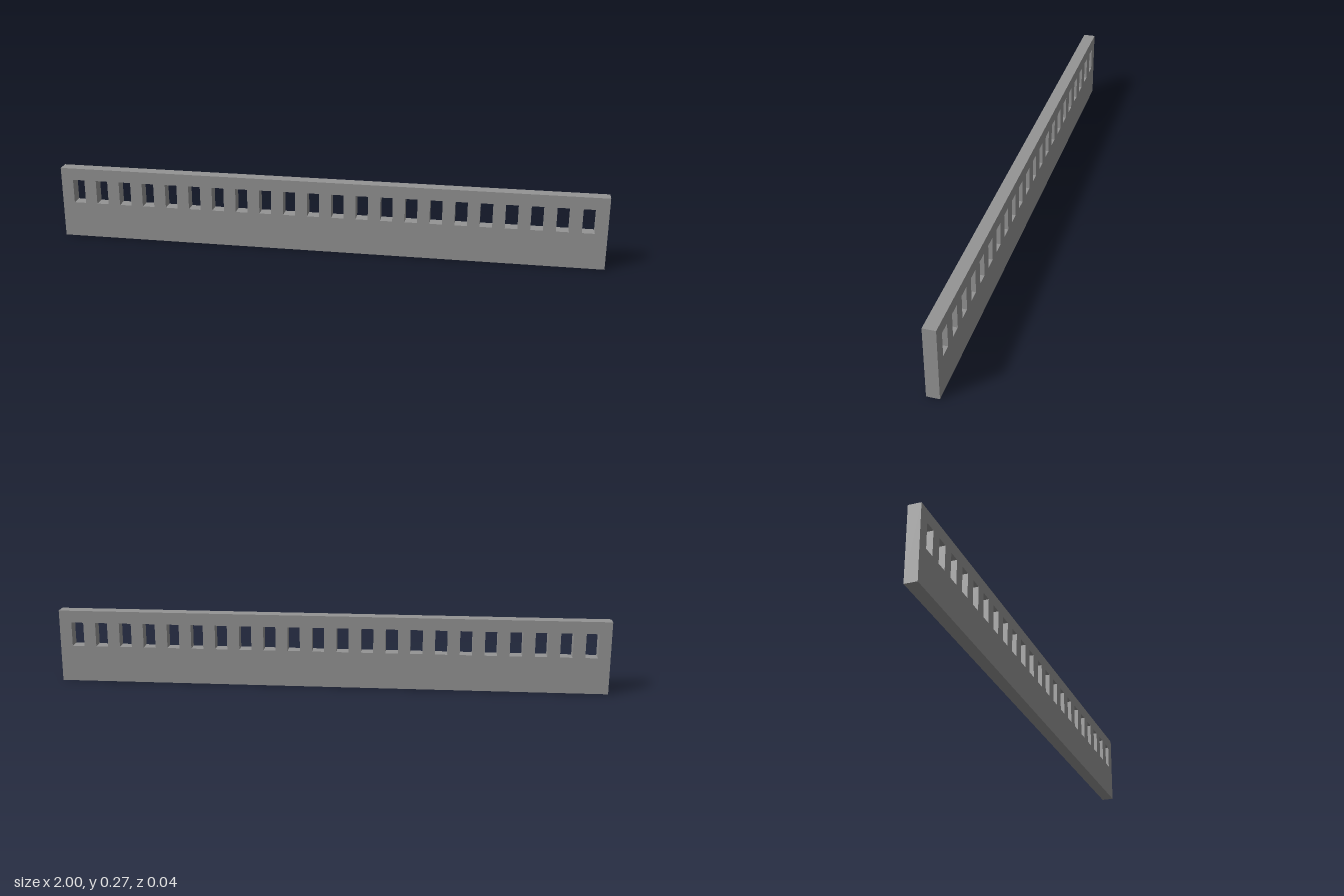
import * as THREE from 'three';

export function createModel() {
  const group = new THREE.Group();
  group.name = 'slottedBar';
  const grey = new THREE.MeshStandardMaterial({ color: 0x949494 });
  grey.name = 'grey';

  // everything sits on a square module: 45 long, 6 high, 1 deep
  const m = 2 / 45;
  const rect = (target, x, y, w, h) => {
    target.moveTo(x, y);
    target.lineTo(x + w, y);
    target.lineTo(x + w, y + h);
    target.lineTo(x, y + h);
    target.closePath();
    return target;
  };

  // bar outline with a row of 22 slots, one module wide and two high
  const outline = rect(new THREE.Shape(), -1, 0, 2, 6 * m);
  for (let i = 0; i < 22; i++) {
    outline.holes.push(rect(new THREE.Path(), -1 + (1 + 2 * i) * m, 3 * m, m, 2 * m));
  }

  const geometry = new THREE.ExtrudeGeometry(outline, { depth: m, bevelEnabled: false });
  geometry.translate(0, 0, -m / 2);
  const bar = new THREE.Mesh(geometry, grey);
  bar.name = 'bar';
  group.add(bar);
  return group;
}
